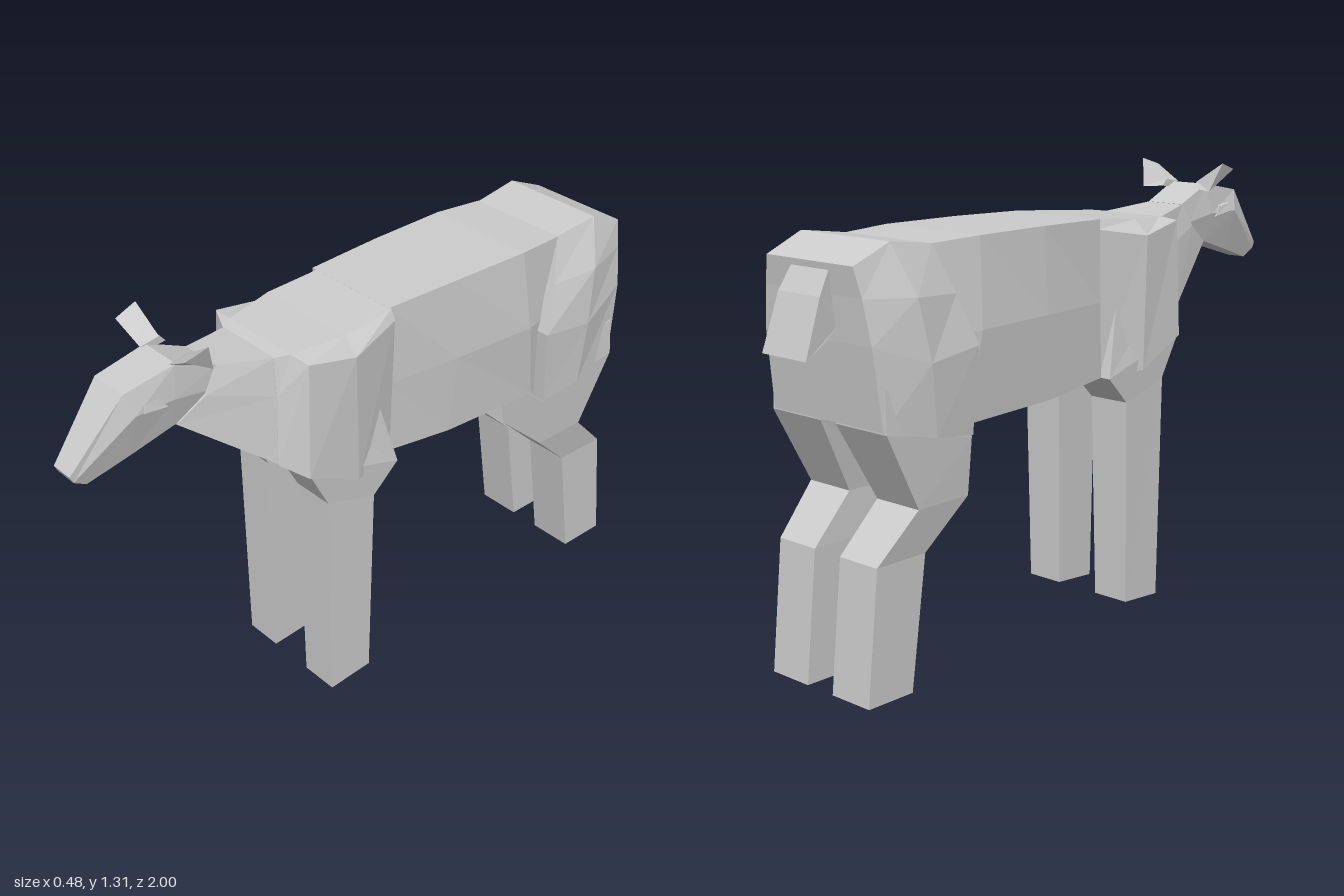
import * as THREE from 'three';

const hide = new THREE.MeshStandardMaterial({ color: 0xcccccc });
hide.name = 'pale grey hide';
hide.flatShading = true;

// Skin a closed solid over rings of [x, y, z] points; ends are capped with strips.
function loft(name, rings) {
  const tris = [];
  const quad = (a, b, c, d) => tris.push([a, b, c], [a, c, d]);
  const n = rings[0].length;
  for (let r = 0; r < rings.length - 1; r++) {
    for (let i = 0; i < n; i++) {
      const j = (i + 1) % n;
      quad(rings[r][i], rings[r][j], rings[r + 1][j], rings[r + 1][i]);
    }
  }
  const first = rings[0], last = rings[rings.length - 1];
  for (let i = 0; i < n / 2 - 1; i++) {
    quad(first[n - 1 - i], first[n - 2 - i], first[i + 1], first[i]);
    quad(last[i], last[i + 1], last[n - 2 - i], last[n - 1 - i]);
  }
  // Turn the faces outward if the signed volume is negative
  const v = p => new THREE.Vector3(...p);
  let volume = 0;
  for (const [a, b, c] of tris) volume += v(a).dot(v(b).cross(v(c)));
  if (volume < 0) tris.forEach(t => t.reverse());

  const geo = new THREE.BufferGeometry();
  geo.setAttribute('position', new THREE.Float32BufferAttribute(tris.flat(2), 3));
  geo.computeVertexNormals();
  const mesh = new THREE.Mesh(geo, hide);
  mesh.name = name;
  return mesh;
}

// Complete a half cross-section with its mirror image
const mirrored = half => [...half, ...half.map(([x, y, z]) => [-x, y, z]).reverse()];
const body = (name, halves) => loft(name, halves.map(mirrored));

// Leg ring: inner x, outer x, front [y, z], back [y, z]
const legRing = ([xi, xo, [yf, zf], [yb, zb]]) =>
  [[xi, yf, zf], [xo, yf, zf], [xo, yb, zb], [xi, yb, zb]];

// A left and right copy of a lofted part
function pair(name, rings) {
  const group = new THREE.Group();
  group.name = name + 's';
  for (const s of [1, -1]) {
    const side = s > 0 ? 'left' : 'right';
    group.add(loft(`${side} ${name}`, rings.map(r => r.map(([x, y, z]) => [s * x, y, z]))));
  }
  return group;
}

export function createModel() {
  const model = new THREE.Group();
  model.name = 'deer';

  // Front half sits very slightly to one side
  const front = new THREE.Group();
  front.name = 'forequarters';
  front.position.x = 0.012;
  model.add(front);

  // Barrel
  model.add(body('barrel', [
    [[0.16, 1.19, 0.03], [0.165, 0.95, 0.03], [0.16, 0.725, 0.04]],
    [[0.173, 1.195, -0.22], [0.188, 0.95, -0.22], [0.178, 0.705, -0.2]],
    [[0.18, 1.196, -0.48], [0.206, 0.95, -0.5], [0.19, 0.7, -0.54]],
    [[0.165, 1.19, -0.64], [0.18, 0.95, -0.62], [0.17, 0.71, -0.62]],
  ]));

  // Shoulders and chest
  front.add(body('shoulders', [
    [[0.155, 1.19, 0.025], [0.17, 1.16, 0.025], [0.165, 0.725, 0.035]],
    [[0.165, 1.175, 0.2], [0.212, 1.13, 0.2], [0.21, 0.73, 0.19]],
    [[0.13, 1.165, 0.36], [0.2, 1.16, 0.355], [0.208, 0.81, 0.365]],
    [[0.11, 1.16, 0.4], [0.125, 1.05, 0.405], [0.14, 0.845, 0.42]],
  ]));

  // Neck
  front.add(body('neck', [
    [[0.11, 1.16, 0.395], [0.125, 1.05, 0.4], [0.14, 0.845, 0.415]],
    [[0.065, 1.18, 0.56], [0.075, 1.11, 0.6], [0.058, 1.05, 0.685]],
  ]));

  // Head and muzzle
  front.add(body('head', [
    [[0.065, 1.18, 0.555], [0.07, 1.12, 0.59], [0.055, 1.05, 0.67]],
    [[0.068, 1.235, 0.68], [0.078, 1.14, 0.7], [0.056, 1.05, 0.69]],
    [[0.062, 1.205, 0.84], [0.08, 1.14, 0.82], [0.045, 1.01, 0.82]],
    [[0.036, 1.015, 1.0], [0.036, 0.995, 0.99], [0.03, 0.97, 0.95]],
  ]));

  // Brow ridge around each eye
  front.add(pair('eye', [
    [[0.06, 1.12, 0.71], [0.06, 1.17, 0.73], [0.06, 1.175, 0.8], [0.06, 1.13, 0.81]],
    [[0.081, 1.13, 0.72], [0.077, 1.16, 0.74], [0.077, 1.165, 0.79], [0.083, 1.14, 0.79]],
  ]));

  // Ears, spread sideways
  front.add(pair('ear', [
    [[0.06, 1.235, 0.7], [0.06, 1.245, 0.64], [0.06, 1.225, 0.62], [0.06, 1.22, 0.66]],
    [[0.15, 1.285, 0.71], [0.158, 1.307, 0.64], [0.13, 1.22, 0.61], [0.136, 1.25, 0.65]],
  ]));

  // Front legs
  front.add(pair('front leg', [
    [0.075, 0.18, [0.95, 0.3], [0.95, 0.1]],
    [0.065, 0.205, [0.82, 0.365], [0.725, 0.04]],
    [0.065, 0.2, [0.69, 0.295], [0.64, 0.125]],
    [0.074, 0.195, [0.0, 0.285], [0.012, 0.137]],
  ].map(legRing)));

  // Haunches
  model.add(body('haunches', [
    [[0.225, 0.68, -0.56], [0.235, 0.7, -0.7], [0.212, 0.74, -0.865]],
    [[0.236, 0.92, -0.545], [0.242, 0.9, -0.72], [0.205, 0.96, -0.89]],
    [[0.205, 1.06, -0.595], [0.226, 1.07, -0.75], [0.185, 1.08, -0.9]],
    [[0.163, 1.19, -0.64], [0.17, 1.21, -0.79], [0.165, 1.16, -0.91]],
  ]));

  // Hind legs with bent hocks
  model.add(pair('hind leg', [
    [0.03, 0.215, [0.82, -0.57], [0.85, -0.86]],
    [0.03, 0.222, [0.675, -0.562], [0.735, -0.863]],
    [0.055, 0.213, [0.515, -0.57], [0.515, -0.75]],
    [0.05, 0.192, [0.385, -0.71], [0.385, -0.88]],
    [0.05, 0.192, [0.01, -0.765], [0.012, -0.92]],
  ].map(legRing)));

  // Tail hanging out from the rump
  model.add(body('tail', [
    [[0.07, 1.155, -0.9], [0.07, 1.05, -0.88]],
    [[0.08, 1.08, -0.945], [0.075, 1.0, -0.885]],
    [[0.085, 0.925, -1.0], [0.08, 0.965, -0.93]],
  ]));

  return model;
}
